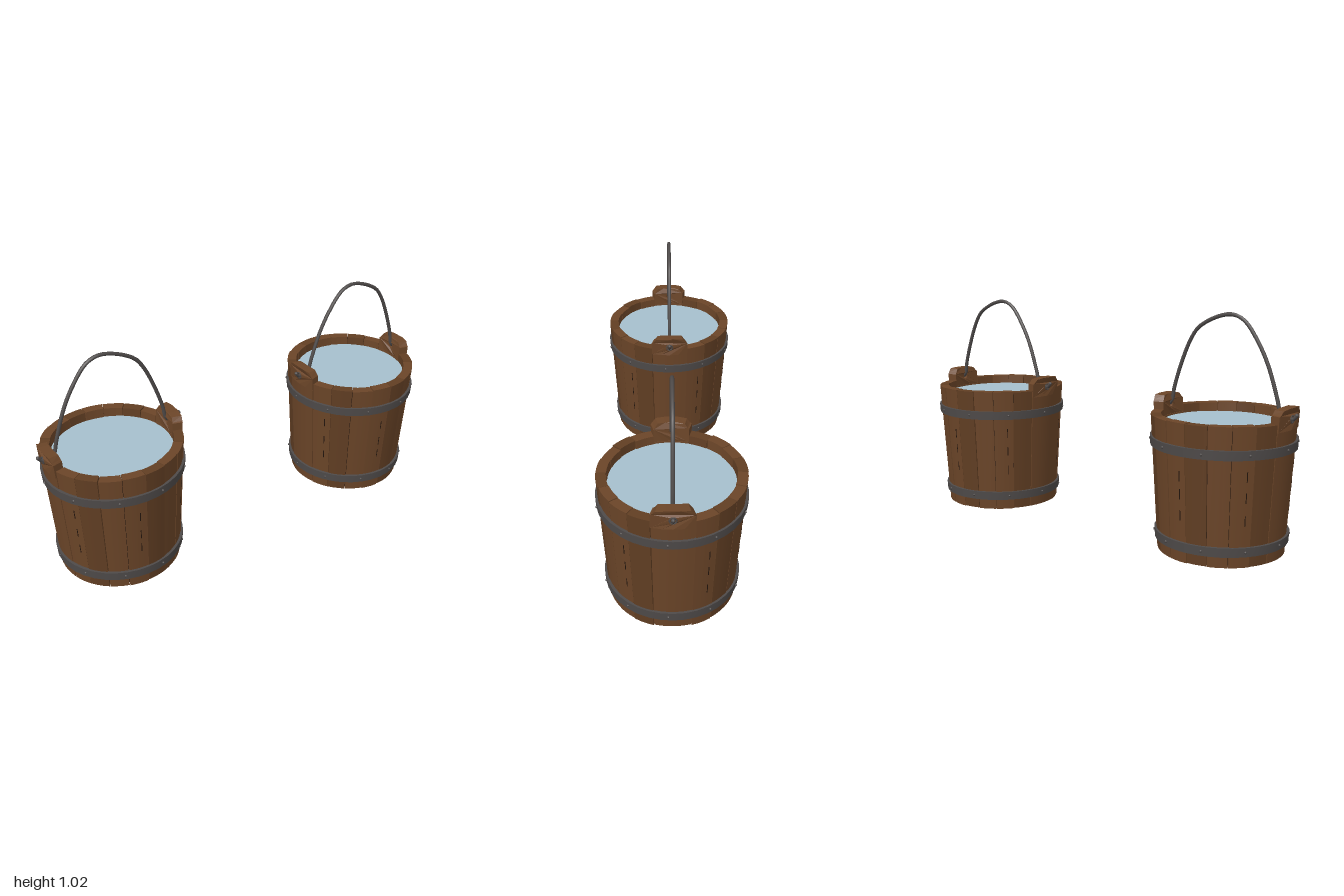
import * as THREE from 'three';

const mat = (name, color, extra = {}) =>
  Object.assign(new THREE.MeshStandardMaterial({ color, ...extra }), { name });

// Outer radius of the tapered bucket at height y
const outer = (y) => 0.274 + 0.06 * y;

// Wraps a geometry round the bucket: x is the angle, z the offset from the outer wall
function wrap(geometry, turn = 0) {
  const p = geometry.attributes.position;
  for (let i = 0; i < p.count; i++) {
    const a = p.getX(i) + turn, y = p.getY(i), r = outer(y) + p.getZ(i);
    p.setXYZ(i, Math.sin(a) * r, y, Math.cos(a) * r);
  }
  geometry.computeVertexNormals();
  return geometry;
}

// Curved slab covering an angle, a height range and a depth range
function slab(angle, y0, y1, z0, z1, turn, segments) {
  const g = new THREE.BoxGeometry(angle, y1 - y0, z1 - z0, segments, 1, 1);
  g.translate(0, (y0 + y1) / 2, (z0 + z1) / 2);
  return wrap(g, turn);
}

function createBucket(m) {
  const bucket = new THREE.Group();
  const add = (name, geometry, material) => {
    const mesh = new THREE.Mesh(geometry, material);
    mesh.name = name;
    bucket.add(mesh);
    return mesh;
  };
  let seed = 7;
  const rand = () => (seed = (seed * 16807) % 2147483647) / 2147483647;

  // Staves: one wide stave under each ear and eight narrower ones between them
  const earAngle = 0.57, step = (Math.PI - earAngle) / 8;
  for (const side of [1, -1]) {
    const ear = (side * Math.PI) / 2;
    add('earStave', slab(earAngle - 0.008, 0.005, 0.56, -0.043, 0, ear, 5), m.wood);
    for (let i = 0; i < 8; i++) {
      const turn = ear + earAngle / 2 + (i + 0.5) * step;
      const top = 0.589 + rand() * 0.008, bump = (rand() - 0.5) * 0.005;
      add('stave', slab(step - 0.01, rand() * 0.006, top, -0.043 + bump, bump, turn, 3),
        i % 3 === 1 ? m.woodDark : m.wood);
      // Short cracks in some staves
      if (i % 3 === 0) {
        for (let k = 0; k < 3; k++) {
          const y = 0.17 + k * 0.09 + rand() * 0.02;
          add('crack', slab(0.012, y, y + 0.045, bump, bump + 0.0012, turn + 0.06, 1), m.gap);
        }
      }
    }

    // Ear with clipped corners and a hole for the handle
    const w = earAngle / 2;
    const shape = new THREE.Shape();
    const outline = [[-w, 0.56], [-w / 2, 0.56], [0, 0.56], [w / 2, 0.56], [w, 0.56], [w, 0.622],
      [w * 0.92, 0.63], [w * 0.75, 0.649], [w / 3, 0.651], [-w / 3, 0.651], [-w * 0.75, 0.646], [-w * 0.92, 0.628], [-w, 0.625]];
    shape.setFromPoints(outline.map(([x, y]) => new THREE.Vector2(x, y)));
    const hole = new THREE.Path();
    hole.absellipse(0, 0.605, 0.042, 0.014, 0, Math.PI * 2, true);
    shape.holes.push(hole);
    const earGeometry = new THREE.ExtrudeGeometry(shape,
      { depth: 0.045, bevelEnabled: false, curveSegments: 5 });
    earGeometry.translate(0, 0, -0.04);
    add('ear', wrap(earGeometry, ear), m.wood);
    const eyelet = add('eyelet', new THREE.TorusGeometry(0.0145, 0.003, 5, 12), m.iron);
    eyelet.position.set(side * 0.315, 0.605, 0);
    eyelet.rotation.y = Math.PI / 2;
  }

  // Dark liner seen through the seams
  add('seams', new THREE.CylinderGeometry(outer(0.58) - 0.012, outer(0.012) - 0.012, 0.568, 48, 1, true)
    .translate(0, 0.296, 0), m.gap);

  // Iron hoops with rivets
  for (const [y0, y1] of [[0.46, 0.5], [0.053, 0.093]]) {
    add('hoop', slab(Math.PI * 2, y0, y1, -0.008, 0.011, 0, 36), m.iron);
    for (let i = 0; i < 10; i++) {
      const a = (i / 10) * Math.PI * 2 + 0.25, y = (y0 + y1) / 2, r = outer(y) + 0.011;
      const rivet = add('rivet', new THREE.SphereGeometry(0.006, 6, 4), m.iron);
      rivet.position.set(Math.sin(a) * r, y, Math.cos(a) * r);
    }
  }

  // Bottom made of planks cut to a circle, laid diagonally
  const R = 0.243, planks = 4;
  for (let i = 0; i < planks; i++) {
    const a = -R + (2 * R * i) / planks + 0.0015, b = -R + (2 * R * (i + 1)) / planks - 0.0015;
    const right = [], left = [];
    for (let k = 0; k <= 8; k++) {
      const y = a + ((b - a) * k) / 8, x = Math.sqrt(Math.max(R * R - y * y, 0));
      right.push(new THREE.Vector2(x, y));
      left.unshift(new THREE.Vector2(-x, y));
    }
    const g = new THREE.ExtrudeGeometry(new THREE.Shape([...right, ...left]),
      { depth: 0.02, bevelEnabled: false });
    g.rotateX(-Math.PI / 2).rotateY(0.6).translate(0, 0.018, 0);
    add('bottomPlank', g, m.woodDark);
  }
  add('bottomSeams', new THREE.CylinderGeometry(0.245, 0.245, 0.01, 36).translate(0, 0.033, 0), m.gap);

  // Water surface
  add('water', new THREE.CircleGeometry(0.268, 40).rotateX(-Math.PI / 2).translate(0, 0.553, 0), m.water);

  // Bent iron handle hooked through both ears
  const path = [[-0.334, 0.622], [-0.325, 0.607], [-0.295, 0.604], [-0.266, 0.612], [-0.245, 0.68],
    [-0.2, 0.81], [-0.15, 0.905], [-0.085, 0.988], [-0.03, 1.011], [0.04, 1.0], [0.135, 0.95],
    [0.175, 0.895], [0.22, 0.79], [0.255, 0.68], [0.27, 0.612], [0.295, 0.604], [0.325, 0.607], [0.334, 0.622]];
  const curve = new THREE.CatmullRomCurve3(path.map(([x, y]) => new THREE.Vector3(x, y, 0)), false, 'centripetal');
  add('handle', new THREE.TubeGeometry(curve, 52, 0.0085, 8, false), m.iron);
  for (const i of [0, path.length - 1]) {
    add('handleTip', new THREE.SphereGeometry(0.0085, 8, 6).translate(path[i][0], path[i][1], 0), m.iron);
  }
  return bucket;
}

export function createModel() {
  const materials = {
    wood: mat('wood', 0x6b4528),
    woodDark: mat('darkWood', 0x613e23),
    gap: mat('seamBrown', 0x24160d, { side: THREE.DoubleSide }),
    iron: mat('iron', 0x4e4a49),
    water: mat('water', 0xa5bfcd),
  };
  const model = new THREE.Group();
  model.name = 'waterBuckets';
  for (const side of [1, -1]) {
    const bucket = createBucket(materials);
    bucket.name = side > 0 ? 'leftBucket' : 'rightBucket';
    bucket.position.x = side * 0.66;
    model.add(bucket);
  }
  return model;
}
